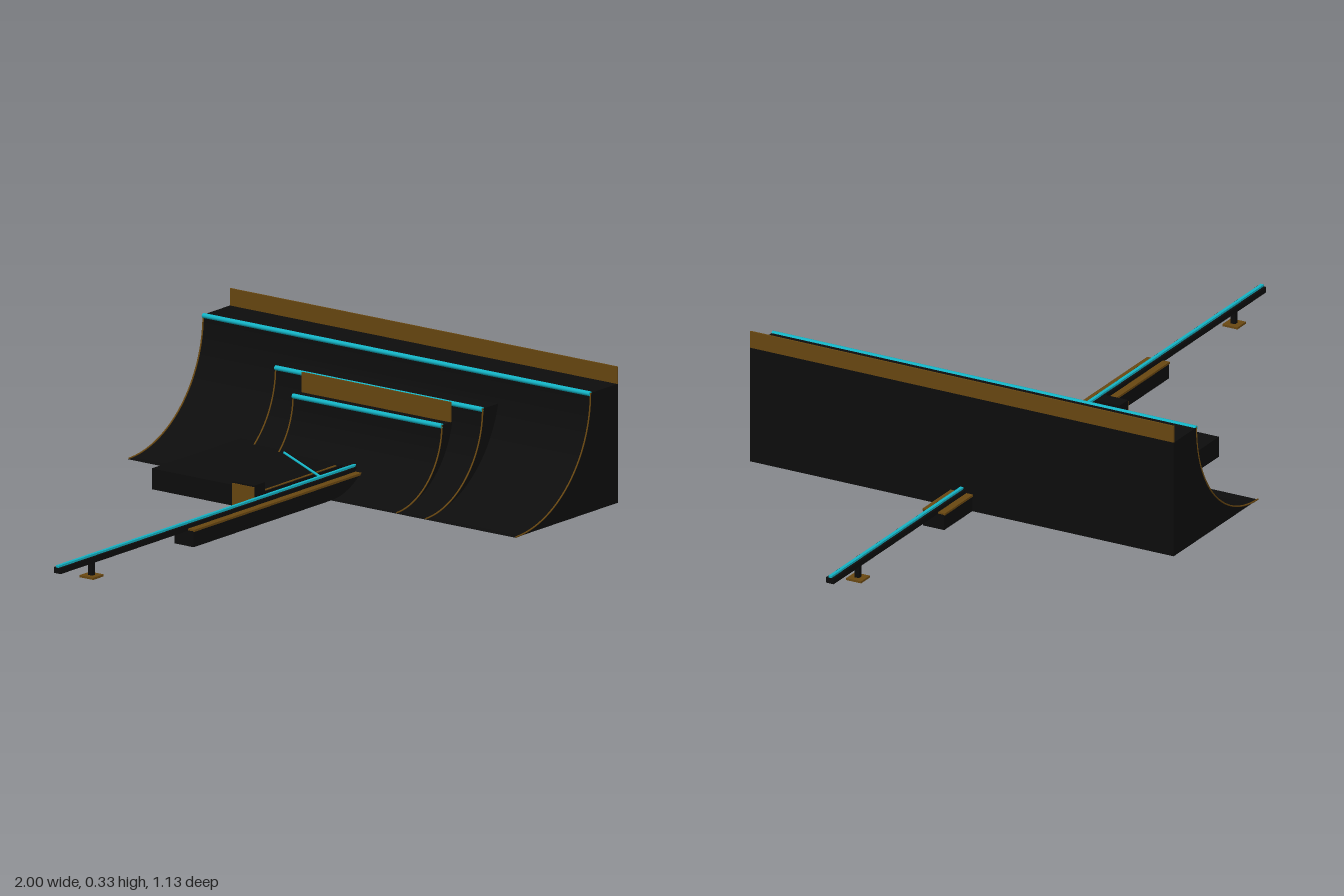
import * as THREE from 'three';

export function createModel() {
  const root = new THREE.Group();
  const mat = (name, color) => Object.assign(new THREE.MeshStandardMaterial({ color }), { name });
  const black = mat('matte black', 0x0d0d0d);
  const bronze = mat('bronze', 0x6a4811);
  const cyan = mat('cyan', 0x14b4c6);

  const add = (parent, name, geo, material) => {
    const m = new THREE.Mesh(geo, material);
    m.name = name;
    parent.add(m);
    return m;
  };
  // Box given by its minimum and maximum corners
  const box = (parent, name, material, x0, x1, y0, y1, z0, z1) => {
    const m = add(parent, name, new THREE.BoxGeometry(x1 - x0, y1 - y0, z1 - z0), material);
    m.position.set((x0 + x1) / 2, (y0 + y1) / 2, (z0 + z1) / 2);
    return m;
  };

  // Curved ramp: quarter-circle face, deck, coping and thin trim on both ends
  const ramp = (name, r, back, half) => {
    const g = new THREE.Group();
    g.name = name;
    root.add(g);
    const arc = [];
    for (let i = 0; i <= 24; i++) {
      const a = (i / 24) * Math.PI / 2;
      arc.push(new THREE.Vector2(r * Math.sin(a), r - r * Math.cos(a)));
    }
    const shape = new THREE.Shape([...arc, new THREE.Vector2(back, r), new THREE.Vector2(back, 0)]);
    const geo = new THREE.ExtrudeGeometry(shape, { depth: half * 2, bevelEnabled: false });
    geo.translate(0, 0, -half);
    add(g, 'rampBody', geo, black);
    const coping = add(g, 'coping', new THREE.CylinderGeometry(0.006, 0.006, half * 2, 12), cyan);
    coping.rotation.x = Math.PI / 2;
    coping.position.set(r, r - 0.002, 0);
    for (const s of [-1, 1]) {
      const path = new THREE.CatmullRomCurve3(arc.map(p => new THREE.Vector3(p.x, p.y + 0.001, s * half)));
      add(g, 'edgeTrim', new THREE.TubeGeometry(path, 32, 0.002, 6), bronze);
    }
    return g;
  };
  const large = ramp('largeRamp', 0.285, 0.39, 0.565);
  ramp('mediumRamp', 0.218, 0.29, 0.302);
  const small = ramp('smallRamp', 0.174, 0.22, 0.217);
  box(large, 'backPanel', bronze, 0.386, 0.39, 0.285, 0.326, -0.565, 0.565);
  box(small, 'backPanel', bronze, 0.206, 0.21, 0.174, 0.222, -0.217, 0.217);

  // Long ledge with metal edges
  const ledge = new THREE.Group();
  ledge.name = 'ledge';
  root.add(ledge);
  box(ledge, 'ledgeBody', black, -0.52, 0.52, 0, 0.038, -0.028, 0.028);
  for (const s of [-1, 1]) {
    const z = [s * 0.012, s * 0.03].sort((a, b) => a - b);
    box(ledge, 'ledgeEdge', bronze, -0.52, 0.52, 0.037, 0.042, ...z);
  }

  // Grind rail on two posts
  const rail = new THREE.Group();
  rail.name = 'grindRail';
  root.add(rail);
  box(rail, 'railBar', black, -1, 1, 0.036, 0.05, -0.01, 0.01);
  box(rail, 'railStripe', cyan, -1, 1, 0.05, 0.055, -0.004, 0.004);
  for (const x of [-0.87, 0.87]) {
    box(rail, 'railPost', black, x - 0.006, x + 0.006, 0, 0.037, -0.006, 0.006);
    box(rail, 'footPlate', bronze, x - 0.02, x + 0.02, 0, 0.005, -0.02, 0.02);
  }

  // Low platform with a side block
  box(root, 'platform', black, -0.175, 0.175, 0, 0.05, -0.36, -0.03);
  box(root, 'platformEdge', bronze, -0.175, 0.1, 0.05, 0.052, -0.038, -0.033);
  box(root, 'sideBlock', black, -0.214, -0.175, 0, 0.072, -0.095, -0.03);
  box(root, 'sideBlockPlate', bronze, -0.216, -0.214, 0, 0.068, -0.095, -0.03);

  // Thin sloping handrail
  const path = new THREE.LineCurve3(new THREE.Vector3(0, 0.05, 0), new THREE.Vector3(0, 0.092, -0.11));
  add(root, 'handrail', new THREE.TubeGeometry(path, 1, 0.003, 8), cyan);

  return root;
}
